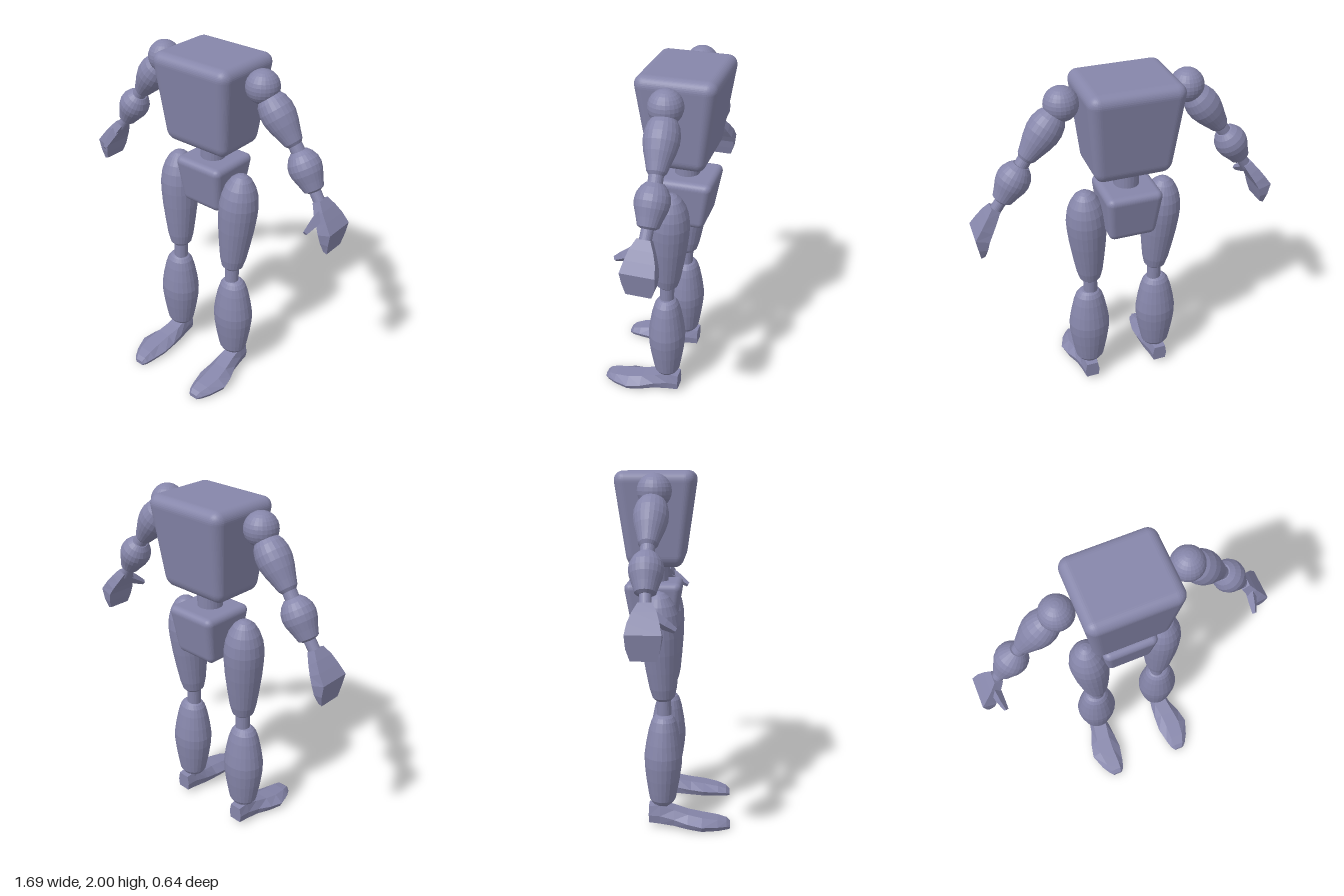
import * as THREE from 'three';
import { RoundedBoxGeometry } from 'three/addons/geometries/RoundedBoxGeometry.js';

const V = (x, y, z) => new THREE.Vector3(x, y, z);

// Rounded box that narrows towards its bottom
function taperedBox(w, h, d, r, sx, sz) {
  const g = new RoundedBoxGeometry(w, h, d, 6, r);
  const p = g.attributes.position;
  for (let i = 0; i < p.count; i++) {
    const t = 0.5 - p.getY(i) / h;
    p.setX(i, p.getX(i) * (1 + (sx - 1) * t));
    p.setZ(i, p.getZ(i) * (1 + (sz - 1) * t));
  }
  g.computeVertexNormals();
  return g;
}

// Closed skin over rings of equal point count, always wound outwards
function loft(rings) {
  const n = rings[0].length, tris = [];
  for (let i = 0; i < rings.length - 1; i++) {
    for (let j = 0; j < n; j++) {
      const k = (j + 1) % n;
      const a = rings[i][j], b = rings[i][k], c = rings[i + 1][k], d = rings[i + 1][j];
      tris.push([a, b, c], [a, c, d]);
    }
  }
  const first = rings[0], last = rings[rings.length - 1];
  for (let j = 1; j < n - 1; j++) {
    tris.push([first[0], first[j + 1], first[j]], [last[0], last[j], last[j + 1]]);
  }
  const mid = V(0, 0, 0);
  rings.flat().forEach((p) => mid.add(p));
  mid.divideScalar(rings.length * n);
  let volume = 0;
  for (const [a, b, c] of tris) {
    volume += a.clone().sub(mid).dot(b.clone().sub(mid).cross(c.clone().sub(mid)));
  }
  const pts = tris.flatMap(([a, b, c]) => (volume < 0 ? [a, c, b] : [a, b, c]));
  const g = new THREE.BufferGeometry().setFromPoints(pts);
  g.computeVertexNormals();
  return g;
}

export function createModel() {
  const model = new THREE.Group();
  model.name = 'jointedFigure';
  const body = new THREE.MeshStandardMaterial({ color: 0x8686aa, flatShading: true });
  body.name = 'slateLavender';

  function add(name, geometry, parent = model) {
    const m = new THREE.Mesh(geometry, body);
    m.name = name;
    parent.add(m);
    return m;
  }

  // Turned limb from a lower to an upper point; profile holds [fraction, radius]
  function limb(name, parent, low, high, profile, squashZ = 1) {
    const dir = high.clone().sub(low), len = dir.length();
    const pts = profile.map(([t, r]) => new THREE.Vector2(r, t * len));
    pts.unshift(new THREE.Vector2(0, pts[0].y));
    pts.push(new THREE.Vector2(0, pts[pts.length - 1].y));
    const m = add(name, new THREE.LatheGeometry(pts, 24), parent);
    m.scale.z = squashZ;
    m.position.copy(low);
    m.quaternion.setFromUnitVectors(V(0, 1, 0), dir.normalize());
  }
  const rod = (r) => [[0, r], [1, r]];

  // Trunk
  add('torso', taperedBox(0.52, 0.51, 0.445, 0.06, 0.8, 0.68)).position.set(0, 1.745, -0.105);
  add('waist', new THREE.CylinderGeometry(0.07, 0.07, 0.2, 24)).position.set(0, 1.45, -0.115);
  add('pelvis', taperedBox(0.32, 0.285, 0.33, 0.04, 0.82, 0.7)).position.set(0, 1.2525, -0.125);

  for (const s of [1, -1]) {
    const side = s > 0 ? 'left' : 'right';
    const P = (x, y, z) => V(s * x, y, z);

    // Leg
    const leg = new THREE.Group();
    leg.name = side + 'Leg';
    model.add(leg);
    limb('thigh', leg, P(0.2, 0.75, -0.06), P(0.228, 1.365, -0.088), [
      [0, 0.045], [0.03, 0.063], [0.12, 0.077], [0.28, 0.091], [0.45, 0.104], [0.6, 0.111],
      [0.7, 0.112], [0.8, 0.103], [0.88, 0.086], [0.95, 0.06], [0.985, 0.035], [1, 0.012]]);
    limb('knee', leg, P(0.2, 0.62, -0.058), P(0.2, 0.8, -0.062), rod(0.041));
    limb('shin', leg, P(0.217, 0.13, -0.068), P(0.21, 0.665, -0.06), [
      [0, 0.045], [0.03, 0.07], [0.07, 0.085], [0.15, 0.094], [0.3, 0.109], [0.45, 0.12],
      [0.56, 0.122], [0.7, 0.111], [0.85, 0.094], [0.94, 0.078], [0.98, 0.062], [1, 0.045]], 0.88);
    limb('ankle', leg, P(0.225, 0.09, -0.08), P(0.22, 0.16, -0.075), rod(0.042));

    // Foot sections, heel to toe: z, sole y, top y, centre x, half width, half top width
    const foot = [
      [-0.145, 0.03, 0.13, 0.225, 0.045, 0.035], [-0.08, 0.026, 0.135, 0.225, 0.052, 0.038],
      [0, 0.02, 0.11, 0.225, 0.066, 0.042], [0.08, 0.015, 0.09, 0.238, 0.086, 0.042],
      [0.16, 0.01, 0.076, 0.245, 0.097, 0.045], [0.25, 0.004, 0.06, 0.238, 0.072, 0.04],
      [0.3, 0.001, 0.045, 0.23, 0.05, 0.03], [0.322, 0, 0.025, 0.228, 0.03, 0.022]];
    add('foot', loft(foot.map(([z, y0, y1, x, w, t]) => {
      const ym = y0 + (y1 - y0) * 0.45;
      return [P(x - w * 0.85, y0, z), P(x + w * 0.85, y0, z), P(x + w, ym, z),
        P(x + t, y1, z), P(x - t, y1, z), P(x - w, ym, z)];
    })), leg);

    // Arm
    const arm = new THREE.Group();
    arm.name = side + 'Arm';
    model.add(arm);
    add('shoulder', new THREE.SphereGeometry(0.09, 24, 14), arm).position.copy(P(0.335, 1.9, -0.095));
    limb('upperArm', arm, P(0.54, 1.635, -0.112), P(0.36, 1.865, -0.1), [
      [0, 0.036], [0.06, 0.05], [0.2, 0.062], [0.38, 0.079], [0.55, 0.09],
      [0.7, 0.09], [0.85, 0.079], [1, 0.052]]);
    limb('elbow', arm, P(0.59, 1.56, -0.115), P(0.51, 1.68, -0.11), rod(0.037));
    limb('forearm', arm, P(0.677, 1.42, -0.113), P(0.56, 1.608, -0.115), [
      [0, 0.036], [0.05, 0.054], [0.25, 0.068], [0.45, 0.084], [0.6, 0.089],
      [0.75, 0.084], [0.9, 0.066], [1, 0.044]]);
    limb('wrist', arm, P(0.722, 1.355, -0.11), P(0.665, 1.44, -0.113), rod(0.031));

    // Hand sections, wrist to fingertips: outer x y, inner x y, back z, front z
    const hand = [
      [0.735, 1.395, 0.693, 1.37, -0.145, -0.075], [0.77, 1.355, 0.722, 1.32, -0.17, -0.05],
      [0.805, 1.31, 0.75, 1.275, -0.19, -0.035], [0.843, 1.258, 0.772, 1.235, -0.2, -0.022],
      [0.832, 1.19, 0.785, 1.185, -0.195, -0.03], [0.822, 1.128, 0.8, 1.135, -0.175, -0.045]];
    add('hand', loft(hand.map(([xo, yo, xi, yi, zb, zf]) =>
      [P(xo, yo, zb), P(xo, yo, zf), P(xi, yi, zf), P(xi, yi, zb)])), arm);

    // Thumb sections, root to tip: centre x y z, half size
    const thumb = [[0.748, 1.325, -0.07, 0.03], [0.742, 1.29, -0.015, 0.024], [0.732, 1.258, 0.036, 0.013]];
    add('thumb', loft(thumb.map(([x, y, z, r]) =>
      [P(x - r, y, z), P(x, y - r, z - r * 0.6), P(x + r, y, z), P(x, y + r, z + r * 0.6)])), arm);
  }
  return model;
}
